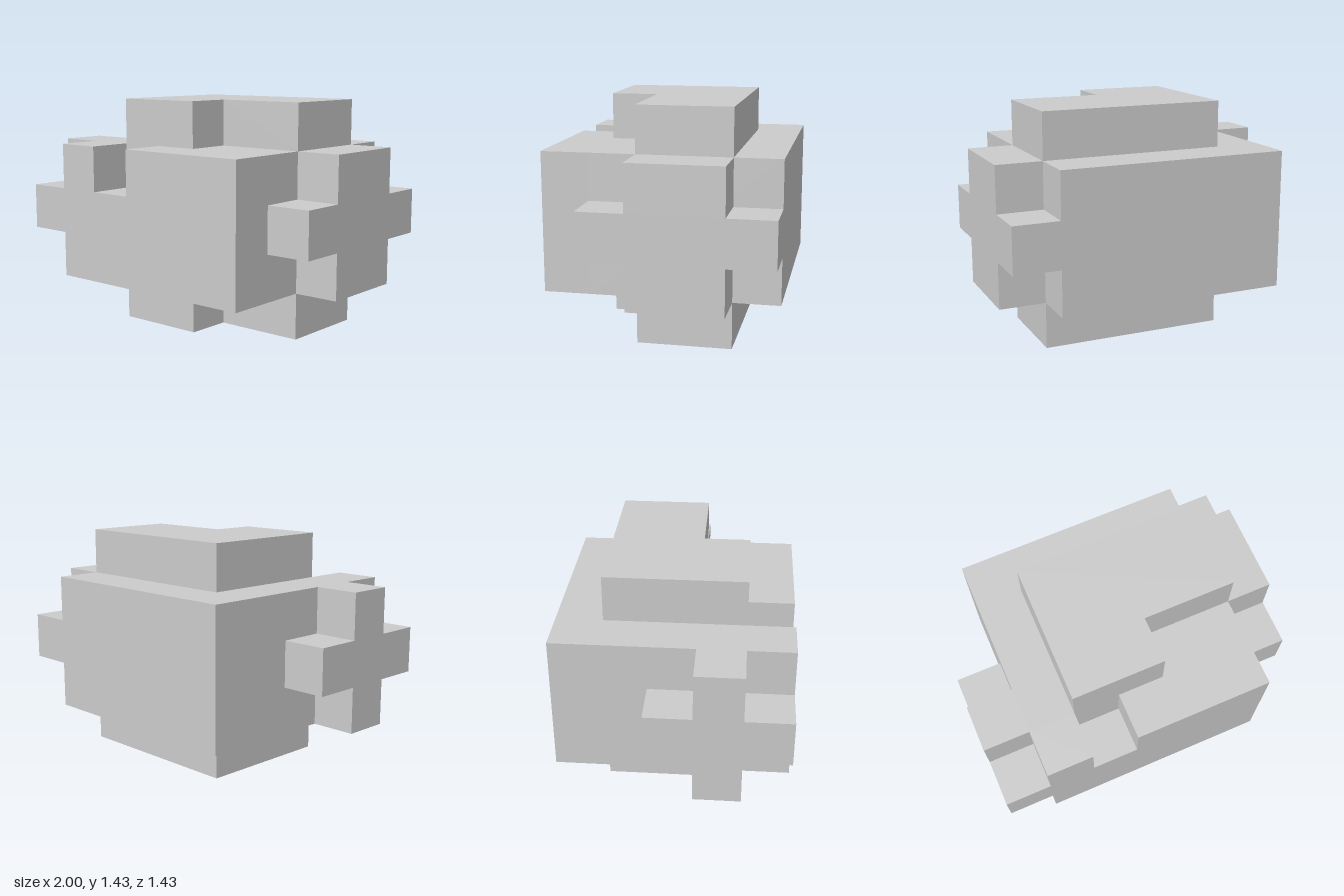
import * as THREE from 'three';

const U = 2 / 7; // one grid cell; the model is 7 x 5 x 5 cells
const material = new THREE.MeshStandardMaterial({ color: 0xcccccc, flatShading: true });

// One-cell-thick slab from an outline given in cells
function slab(points) {
  const shape = new THREE.Shape(points.map(([a, b]) => new THREE.Vector2(a, b)));
  return new THREE.ExtrudeGeometry(shape, { depth: 1, bevelEnabled: false });
}

// Cross outline in (z, y): a tall bar z0..z1 with a one-cell arm on each side
function cross(z0, z1) {
  return [
    [z0, 1], [z1, 1], [z1, 2], [z1 + 1, 2], [z1 + 1, 3], [z1, 3],
    [z1, 4], [z0, 4], [z0, 3], [z0 - 1, 3], [z0 - 1, 2], [z0, 2],
  ];
}

export function createModel() {
  const group = new THREE.Group();

  const add = (name, geometry) => {
    geometry.translate(-3.5, 0, -2.5).scale(U, U, U);
    const mesh = new THREE.Mesh(geometry, material);
    mesh.name = name;
    group.add(mesh);
  };

  // Main block behind the front panel
  add('body', new THREE.BoxGeometry(5, 3, 4).translate(3.5, 2.5, 2));

  // Front panel with a notch in its upper edge
  add('frontPanel', slab([
    [1, 1], [6, 1], [6, 4], [3, 4], [3, 3], [2, 3], [2, 4], [1, 4],
  ]).translate(0, 0, 4));

  // L-shaped caps on the bottom and the top
  const capOutline = [[2, 1], [6, 1], [6, 3], [4, 3], [4, 4], [2, 4]];
  [['bottomCap', 0], ['topCap', 4]].forEach(([name, y]) => {
    add(name, slab(capOutline).rotateX(Math.PI / 2).translate(0, y + 1, 0));
  });

  // Cross-shaped plates on the two sides
  [['rightCross', 0, 3, 4], ['leftCross', 6, 1, 3]].forEach(([name, x, z0, z1]) => {
    const outline = cross(z0, z1).map(([z, y]) => [-z, y]);
    add(name, slab(outline).rotateY(Math.PI / 2).translate(x, 0, 0));
  });

  return group;
}
